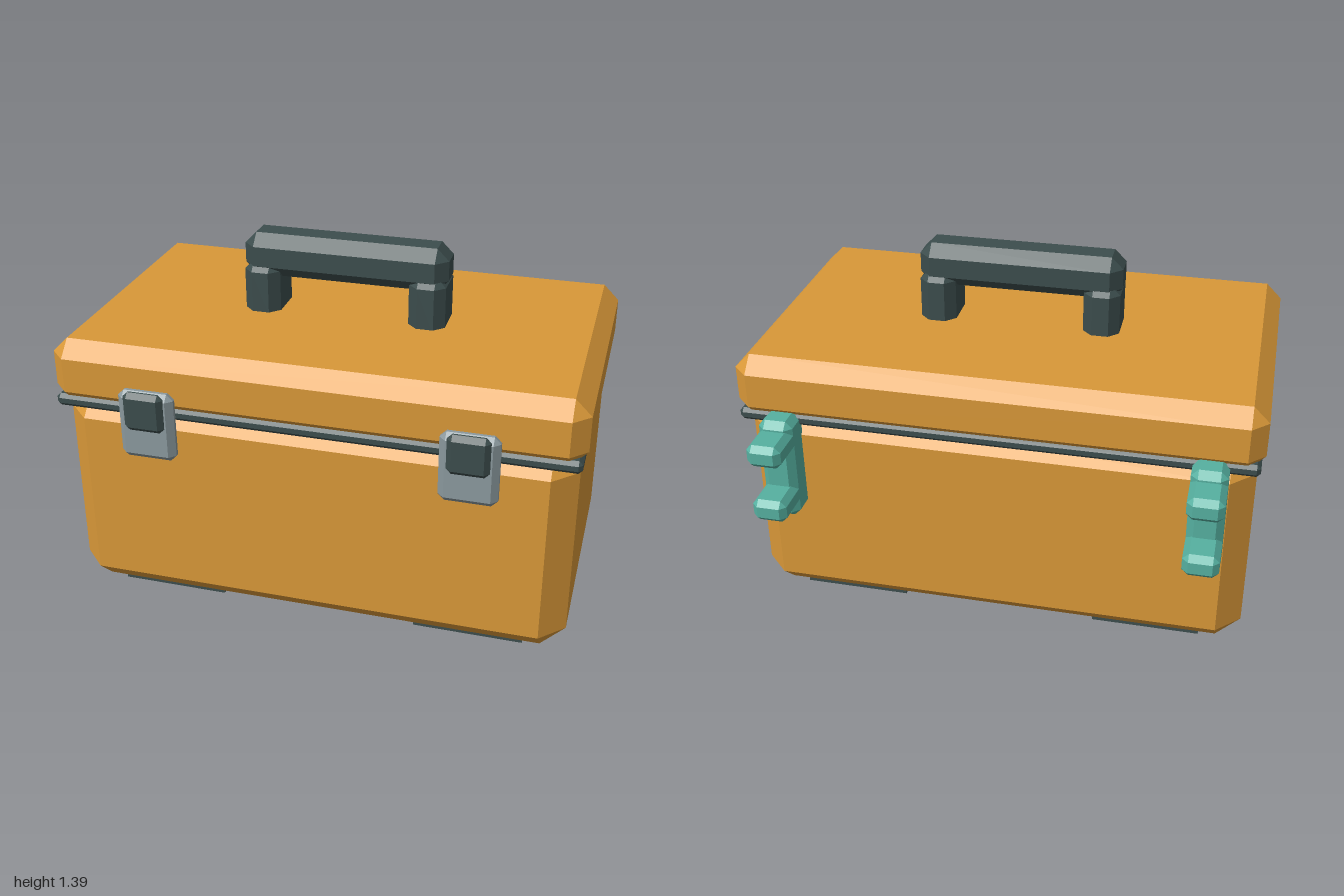
import * as THREE from 'three';
import { ConvexGeometry } from 'three/addons/geometries/ConvexGeometry.js';

const material = (name, color) => {
  const m = new THREE.MeshStandardMaterial({ color });
  m.name = name;
  return m;
};

// Box between two corners with every edge bevelled by c
function bevelBox(name, mat, x, y, z, c) {
  const half = [x, y, z].map(([a, b]) => (b - a) / 2);
  const mid = [x, y, z].map(([a, b]) => (a + b) / 2);
  const points = [];
  for (let axis = 0; axis < 3; axis++) {
    for (const sx of [-1, 1]) for (const sy of [-1, 1]) for (const sz of [-1, 1]) {
      const p = [sx, sy, sz].map((s, i) => s * (half[i] - (i === axis ? 0 : c)));
      points.push(new THREE.Vector3(...p));
    }
  }
  const mesh = new THREE.Mesh(new ConvexGeometry(points), mat);
  mesh.name = name;
  mesh.position.set(...mid);
  return mesh;
}

export function createModel() {
  const orange = material('orange shell', 0xd99838);
  const dark = material('dark rubber', 0x3c4d4d);
  const grey = material('grey metal', 0x8b999e);
  const teal = material('teal hinge', 0x56b1a1);

  const model = new THREE.Group();
  model.name = 'toolbox';

  // Shell and the seal between its halves
  model.add(
    bevelBox('body', orange, [-0.975, 0.975], [0.015, 0.875], [-0.497, 0.64], 0.093),
    bevelBox('lid', orange, [-1, 1], [0.835, 1.092], [-0.522, 0.66], 0.061),
    bevelBox('seal', dark, [-0.987, 0.987], [0.825, 0.875], [-0.507, 0.648], 0.015),
  );

  // Carrying handle
  const handle = new THREE.Group();
  handle.name = 'handle';
  handle.add(bevelBox('grip', dark, [-0.4, 0.4], [1.225, 1.395], [-0.017, 0.16], 0.046));
  model.add(handle);

  for (const side of [-1, 1]) {
    const label = side > 0 ? 'left' : 'right';
    const span = (centre, width) => [side * centre - width / 2, side * centre + width / 2];

    handle.add(bevelBox(label + 'Post', dark, span(0.325, 0.142), [1.04, 1.29], [-0.035, 0.177], 0.038));

    // Front latch: metal plate with a dark tab
    const latch = new THREE.Group();
    latch.name = label + 'Latch';
    latch.add(
      bevelBox('latchPlate', grey, span(0.602, 0.216), [0.675, 0.95], [0.643, 0.704], 0.024),
      bevelBox('latchTab', dark, span(0.602, 0.155), [0.8, 0.955], [0.68, 0.725], 0.019),
    );
    model.add(latch);

    // Rear hinge: upright plate with two arms
    const hinge = new THREE.Group();
    hinge.name = label + 'Hinge';
    hinge.add(bevelBox('hingePlate', teal, span(0.812, 0.134), [0.46, 0.88], [-0.6, -0.46], 0.027));
    for (const y of [0.56, 0.8]) {
      hinge.add(bevelBox('hingeArm', teal, span(0.812, 0.134), [y - 0.046, y + 0.046], [-0.725, -0.54], 0.023));
    }
    model.add(hinge);

    // Flat foot pad
    const pad = new THREE.Mesh(new THREE.BoxGeometry(0.425, 0.025, 0.945), dark);
    pad.name = label + 'FootPad';
    pad.position.set(side * 0.603, 0.0125, 0.07);
    model.add(pad);
  }

  return model;
}
